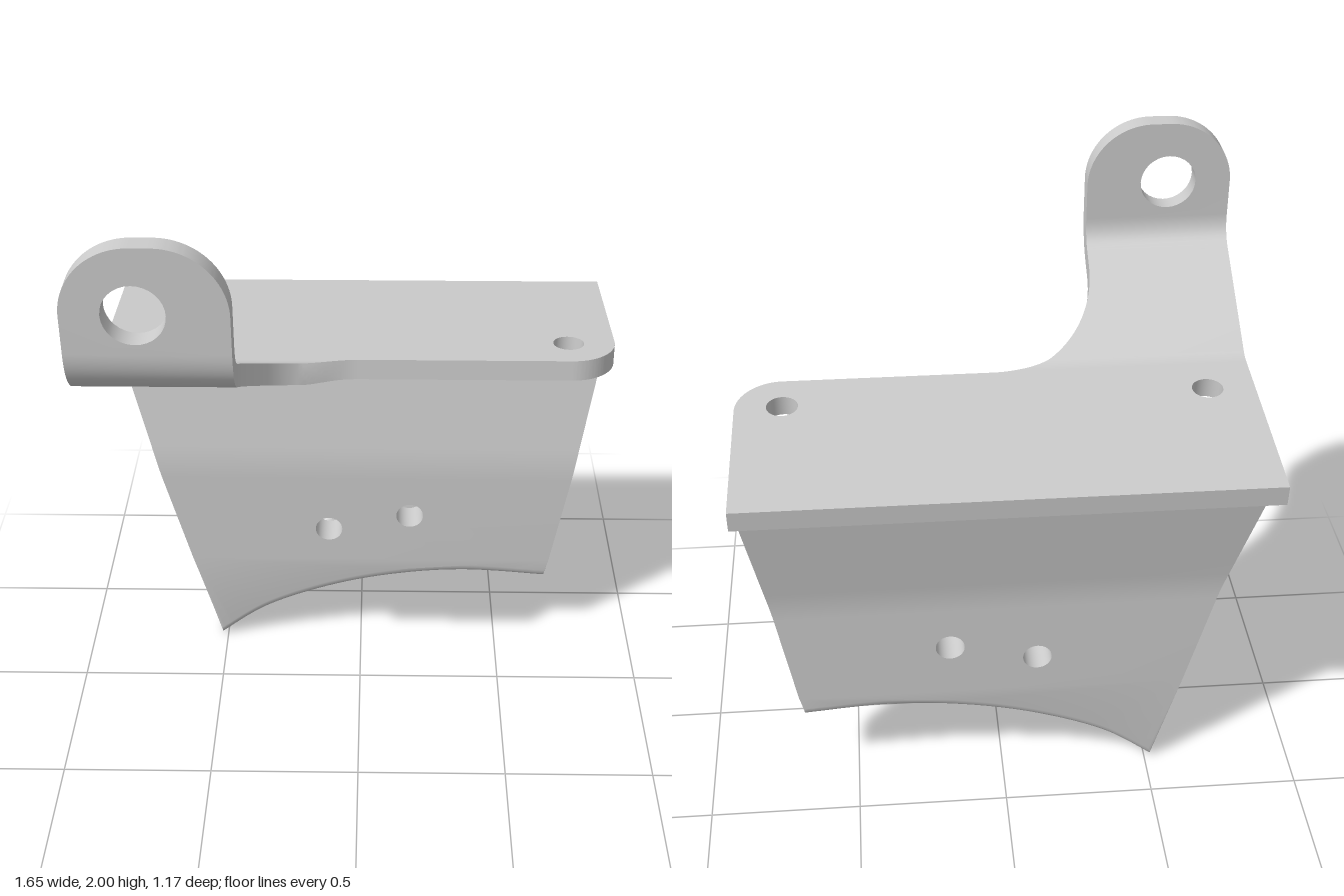
import * as THREE from 'three';
import { toCreasedNormals } from 'three/addons/utils/BufferGeometryUtils.js';

const V2 = (x, y) => new THREE.Vector2(x, y);
const material = new THREE.MeshStandardMaterial({ color: 0xcccccc });

// Side profile as stations {u, z, y, nz, ny}; corners are [z, y, trim], rounded by trim.
function makeProfile(corners) {
  const pts = [];
  corners.forEach(([z, y, trim = 0], i) => {
    const p = V2(z, y);
    if (!trim) { pts.push(p); return; }
    const toward = (c) => p.clone().add(V2(c[0], c[1]).sub(p).setLength(trim));
    const bend = new THREE.QuadraticBezierCurve(toward(corners[i - 1]), p, toward(corners[i + 1]));
    pts.push(...bend.getPoints(8));
  });
  let u = 0;
  return pts.map((p, i) => {
    if (i) u += p.distanceTo(pts[i - 1]);
    const before = i ? p.clone().sub(pts[i - 1]).normalize() : V2(0, 0);
    const after = i < pts.length - 1 ? pts[i + 1].clone().sub(p).normalize() : V2(0, 0);
    const t = before.add(after).normalize();
    return { u, z: p.x, y: p.y, nz: t.y, ny: -t.x };
  });
}

// Keep the part of a polygon on one side of the line y = u.
function clip(poly, u, sign) {
  const out = [];
  poly.forEach((a, i) => {
    const b = poly[(i + 1) % poly.length];
    const da = sign * (a.y - u), db = sign * (b.y - u);
    if (da >= 0) out.push(a);
    if (da * db < 0) {
      const c = a.clone().lerp(b, da / (da - db));
      c.y = u;
      out.push(c);
    }
  });
  return tidy(out);
}

const tidy = (poly) => poly.filter((p, i) => p.distanceTo(poly[(i + 1) % poly.length]) > 1e-6);

// Flat outline in (x, u) with round holes [x, u, r], thickened and bent along a profile.
function bentSheet(outline, holes, profile, thickness, lift = () => 0) {
  const pos = [];
  const levels = [];
  for (let i = 0; i <= 12; i++) levels.push(-Math.cos((i / 12) * Math.PI) * thickness / 2);
  const last = profile.length - 1;

  for (let s = 0; s < last; s++) {
    const A = profile[s], B = profile[s + 1];
    const place = (p, w) => {
      const k = (p.y + lift(p.y, w) - A.u) / (B.u - A.u);
      const mix = (key) => A[key] + (B[key] - A[key]) * k;
      pos.push(p.x, mix('y') + w * mix('ny'), mix('z') + w * mix('nz'));
    };
    let strip = outline;
    if (s > 0) strip = clip(strip, A.u, 1);
    if (s < last - 1) strip = clip(strip, B.u, -1);
    if (strip.length < 3) continue;
    const rings = holes.filter((h) => h[1] > A.u && h[1] < B.u).map(([x, u, r]) =>
      Array.from({ length: 32 }, (_, i) => {
        const a = -(i / 32) * Math.PI * 2;
        return V2(x + r * Math.cos(a), u + r * Math.sin(a));
      }));

    // Both faces
    const all = [strip, ...rings].flat();
    for (const [a, b, c] of THREE.ShapeUtils.triangulateShape(strip, rings)) {
      for (const i of [a, b, c]) place(all[i], thickness / 2);
      for (const i of [a, c, b]) place(all[i], -thickness / 2);
    }
    // Edges, left out where one strip meets the next
    const onCut = (a, b, u) => Math.abs(a.y - u) < 1e-6 && Math.abs(b.y - u) < 1e-6;
    for (const ring of [strip, ...rings]) {
      ring.forEach((a, i) => {
        const b = ring[(i + 1) % ring.length];
        if ((s > 0 && onCut(a, b, A.u)) || (s < last - 1 && onCut(a, b, B.u))) return;
        for (let l = 0; l < levels.length - 1; l++) {
          const lo = levels[l], hi = levels[l + 1];
          place(a, lo); place(b, lo); place(b, hi);
          place(a, lo); place(b, hi); place(a, hi);
        }
      });
    }
  }
  const geometry = new THREE.BufferGeometry();
  geometry.setAttribute('position', new THREE.Float32BufferAttribute(pos, 3));
  return toCreasedNormals(geometry, 0.6);
}

// Concave weld strip along x: section points are [z, y].
function filletStrip(start, control, end, root) {
  const shape = new THREE.Shape();
  shape.moveTo(-start[0], start[1]);
  shape.quadraticCurveTo(-control[0], control[1], -end[0], end[1]);
  root.forEach(([z, y]) => shape.lineTo(-z, y));
  shape.closePath();
  const geometry = new THREE.ExtrudeGeometry(shape, { depth: 1.65, bevelEnabled: false, curveSegments: 12 });
  geometry.rotateY(Math.PI / 2).translate(-0.828, 0, 0);
  return toCreasedNormals(geometry, 0.5);
}

export function createModel() {
  const group = new THREE.Group();
  const add = (name, geometry) => {
    const mesh = new THREE.Mesh(geometry, material);
    mesh.name = name;
    group.add(mesh);
  };

  // Top plate, rising arm and upright tab: one bent sheet
  const topProfile = makeProfile([[-0.58, 1.2825], [0.1, 1.33, 0.03], [0.55, 1.585, 0.085], [0.55, 2]]);
  const end = topProfile[topProfile.length - 1].u;
  const top = new THREE.Shape();
  top.moveTo(-0.828, 0);
  top.lineTo(0.825, 0);
  top.lineTo(0.825, 0.495);
  top.absarc(0.675, 0.495, 0.15, 0, Math.PI / 2, false);
  top.lineTo(0, 0.645);
  top.absellipse(0, 1.06, 0.35, 0.415, -Math.PI / 2, -Math.PI, true);
  top.lineTo(-0.35, end - 0.21);
  top.absarc(-0.56, end - 0.21, 0.21, 0, Math.PI / 2, false);
  top.absarc(-0.618, end - 0.21, 0.21, Math.PI / 2, Math.PI, false);
  add('topPlateWithTab', bentSheet(tidy(top.getPoints(20)), [
    [-0.675, 0.51, 0.05], [0.675, 0.51, 0.05], [-0.62, end - 0.205, 0.092],
  ], topProfile, 0.068));

  // Hanging web with an arched, rounded lower edge
  const webProfile = makeProfile([[-0.285, 0], [-0.285, 0.36], [-0.285, 0.77, 0.06], [-0.372, 1.285]]);
  const webEnd = webProfile[webProfile.length - 1].u;
  const web = new THREE.Shape();
  web.moveTo(-0.52, 0);
  web.splineThru([V2(-0.35, 0.125), V2(-0.12, 0.22), V2(0.12, 0.277), V2(0.38, 0.3), V2(0.67, 0.28)]);
  web.lineTo(0.825, 1.19);
  web.lineTo(0.825, webEnd);
  web.lineTo(-0.828, webEnd);
  web.lineTo(-0.828, 1.19);
  const thick = 0.118, round = 0.035;
  const roundEdge = (u, w) => {
    if (u > 0.34) return 0;
    const d = Math.min(1, Math.max(0, (Math.abs(w) - thick / 2 + round) / round));
    return round * (1 - Math.sqrt(1 - d * d));
  };
  add('hangingWeb', bentSheet(tidy(web.getPoints(10)), [
    [-0.115, 0.495, 0.048], [0.175, 0.555, 0.048],
  ], webProfile, thick, roundEdge));

  // Fillets between web and plate
  add('frontFillet', filletStrip([-0.293, 1.17], [-0.305, 1.268], [-0.18, 1.28], [[-0.34, 1.28], [-0.34, 1.17]]));
  add('backFillet', filletStrip([-0.403, 1.12], [-0.425, 1.26], [-0.52, 1.256], [[-0.4, 1.275], [-0.37, 1.12]]));

  return group;
}
